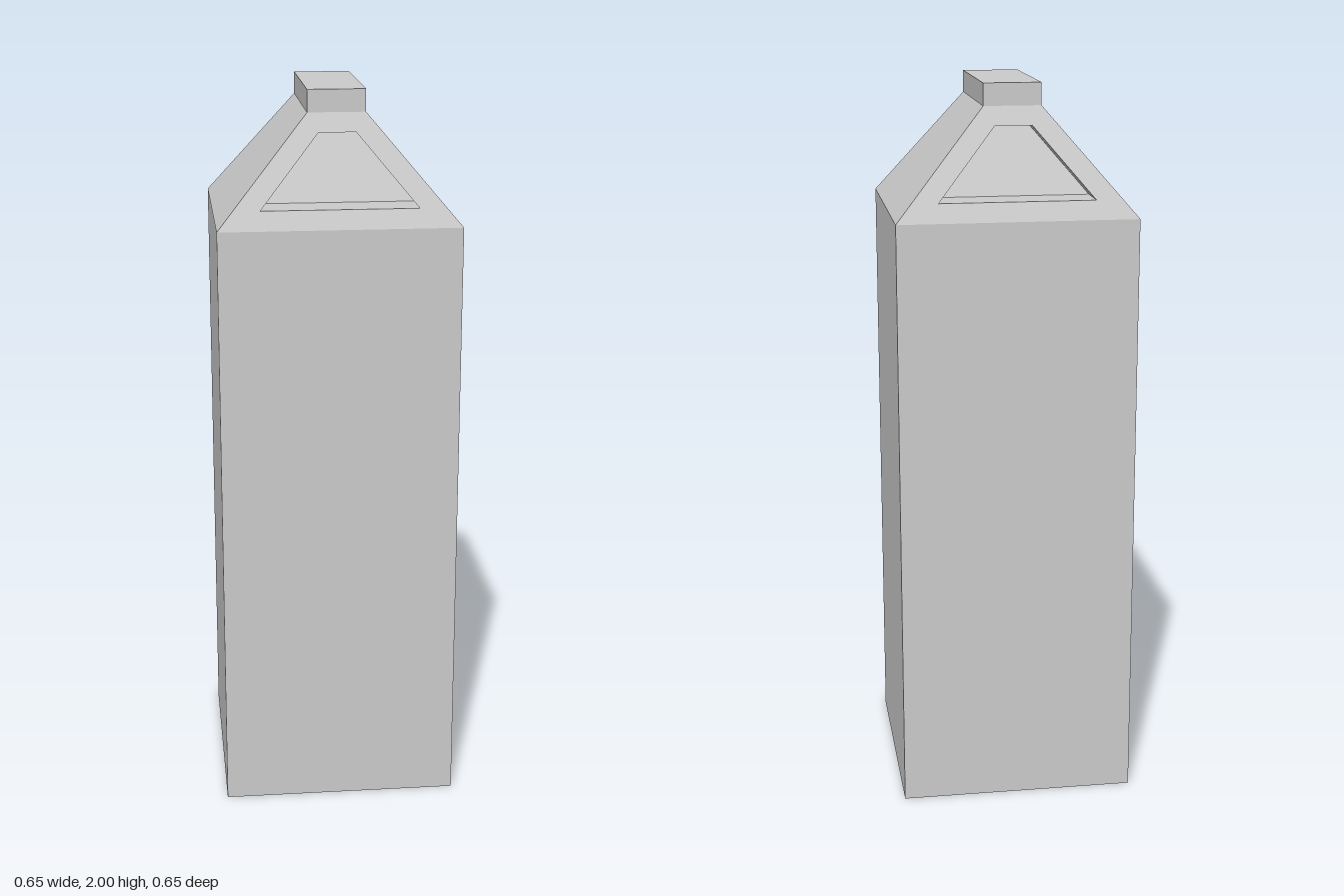
import * as THREE from 'three';

const HALF = 0.325, SHOULDER = 1.65;          // body
const RIDGE_X = 0.078, RIDGE_Z = 0.205, RIDGE_Y = 1.94, TOP = 2; // ridge
const RECESS = 0.105;                          // depth of the gable recess

const material = new THREE.MeshStandardMaterial({ color: 0xcccccc, flatShading: true });

function part(name, geometry, y = 0) {
  const mesh = new THREE.Mesh(geometry, material);
  mesh.name = name;
  mesh.position.y = y;
  return mesh;
}

// Flat four-cornered faces, corners counter-clockwise as seen from outside
function quads(list) {
  const points = list.flatMap(([a, b, c, d]) => [a, b, c, a, c, d]);
  const geometry = new THREE.BufferGeometry();
  geometry.setAttribute('position', new THREE.Float32BufferAttribute(points.flat(), 3));
  geometry.computeVertexNormals();
  return geometry;
}

// Depth of the sloping gable at a given height
const slopeZ = (y) => THREE.MathUtils.mapLinear(y, SHOULDER, RIDGE_Y, HALF, RIDGE_Z);

const trapezoid = (bottomX, bottomY, topX, topY) =>
  [[-bottomX, bottomY], [bottomX, bottomY], [topX, topY], [-topX, topY]];

const toPoints = (corners) => corners.map(([x, y]) => new THREE.Vector2(x, y));

// One end of the roof: sloping frame around a recessed panel
function createGable(name) {
  const gable = new THREE.Group();
  gable.name = name;

  const opening = trapezoid(0.21, 1.70, 0.05, 1.89);
  const outline = new THREE.Shape(toPoints(trapezoid(HALF, SHOULDER, RIDGE_X, RIDGE_Y)));
  outline.holes.push(new THREE.Path(toPoints(opening)));
  const frame = new THREE.ShapeGeometry(outline);
  const position = frame.attributes.position;
  for (let i = 0; i < position.count; i++) position.setZ(i, slopeZ(position.getY(i)));
  frame.computeVertexNormals();
  gable.add(part('gableFrame', frame));

  // Recess: four walls pushed straight inwards, and the panel behind them
  const outer = opening.map(([x, y]) => [x, y, slopeZ(y)]);
  const inner = outer.map(([x, y, z]) => [x, y, z - RECESS]);
  const walls = outer.map((corner, i) => {
    const next = (i + 1) % 4;
    return [corner, outer[next], inner[next], inner[i]];
  });
  gable.add(part('recessWalls', quads(walls)), part('recessPanel', quads([inner])));
  return gable;
}

export function createModel() {
  const model = new THREE.Group();
  model.name = 'carton';

  // Square body and the folded ridge on top
  model.add(part('body', new THREE.BoxGeometry(HALF * 2, SHOULDER, HALF * 2), SHOULDER / 2));
  const ridge = new THREE.BoxGeometry(RIDGE_X * 2, TOP - RIDGE_Y, RIDGE_Z * 2);
  model.add(part('ridge', ridge, (TOP + RIDGE_Y) / 2));

  // Roof slopes and gables, each made once and turned round for the other side
  for (const [i, side] of ['left', 'right'].entries()) {
    const slope = part(side + 'RoofSlope', quads([[
      [HALF, SHOULDER, HALF], [HALF, SHOULDER, -HALF],
      [RIDGE_X, RIDGE_Y, -RIDGE_Z], [RIDGE_X, RIDGE_Y, RIDGE_Z],
    ]]));
    slope.rotation.y = i * Math.PI;
    const gable = createGable(['front', 'back'][i] + 'Gable');
    gable.rotation.y = i * Math.PI;
    model.add(slope, gable);
  }
  return model;
}
